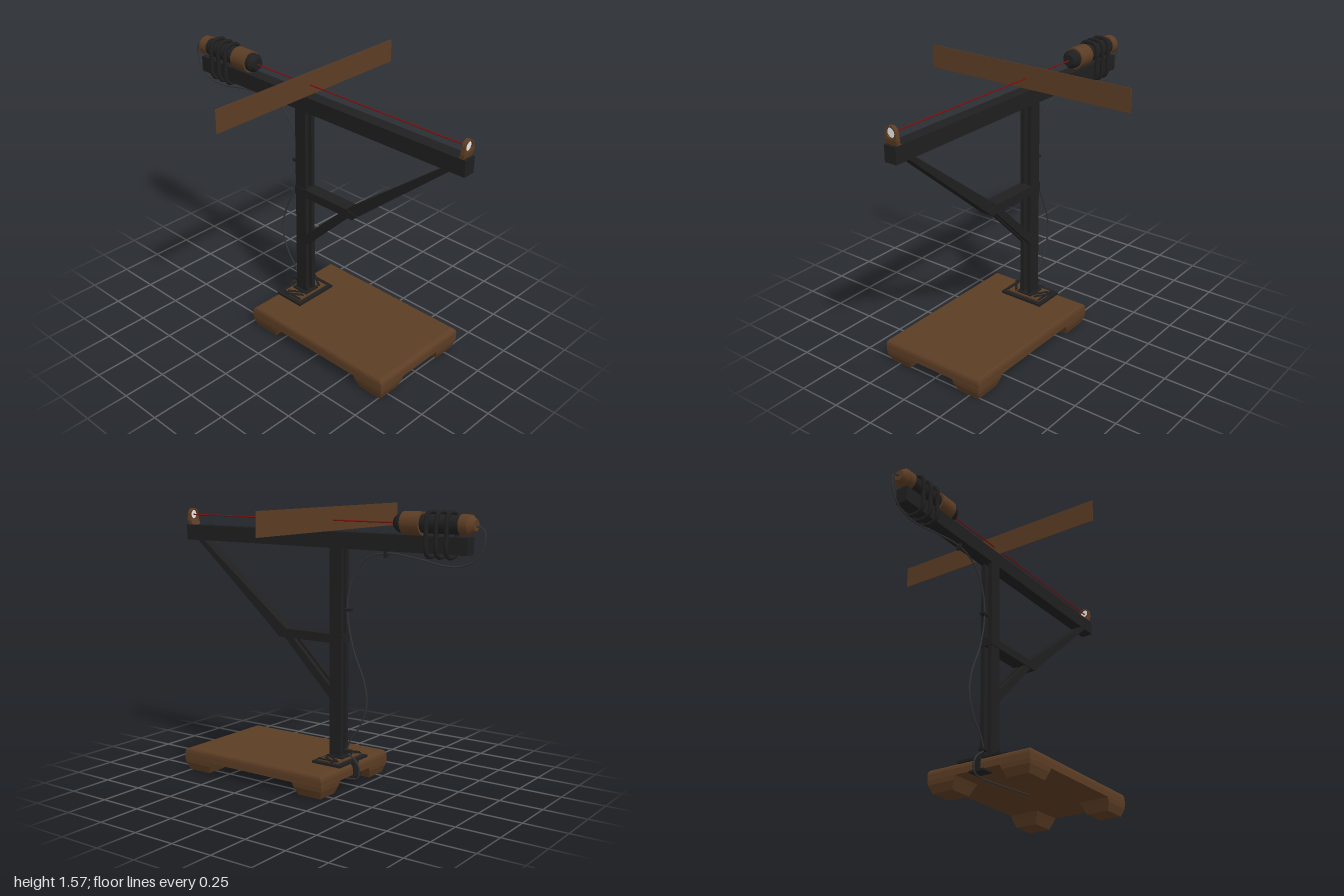
import * as THREE from 'three';

const mat = (name, color, side = THREE.FrontSide) => {
  const m = new THREE.MeshStandardMaterial({ color, side });
  m.name = name;
  return m;
};

// Stack of rectangles [y, x0, x1, z0, z1], listed bottom to top, joined into a closed faceted solid
function loft(levels) {
  const pos = [], idx = [];
  for (const [y, x0, x1, z0, z1] of levels) pos.push(x0, y, z1, x1, y, z1, x1, y, z0, x0, y, z0);
  for (let l = 0; l < levels.length - 1; l++) {
    for (let i = 0; i < 4; i++) {
      const a = l * 4 + i, b = l * 4 + (i + 1) % 4;
      idx.push(a, b, b + 4, a, b + 4, a + 4);
    }
  }
  const t = (levels.length - 1) * 4;
  idx.push(0, 2, 1, 0, 3, 2, t, t + 1, t + 2, t, t + 2, t + 3);
  const g = new THREE.BufferGeometry();
  g.setAttribute('position', new THREE.Float32BufferAttribute(pos, 3));
  g.setIndex(idx);
  const flat = g.toNonIndexed();
  flat.computeVertexNormals();
  return flat;
}

// Side outline in x and y, extruded between two depths
function profile(points, z0, z1) {
  const s = new THREE.Shape(points.map(p => new THREE.Vector2(...p)));
  const g = new THREE.ExtrudeGeometry(s, { depth: z1 - z0, bevelEnabled: false });
  return g.translate(0, 0, z0);
}

export function createModel() {
  const root = new THREE.Group();
  const wood = mat('brown', 0x5c3d24);
  const black = mat('black', 0x1f1f20);
  const grey = mat('cable grey', 0x333335);
  const red = mat('beam red', 0x7d0f0f);
  const pale = mat('lens white', 0xf2f2f2, THREE.DoubleSide);

  const add = (name, geo, m, x = 0, y = 0, z = 0) => {
    const mesh = new THREE.Mesh(geo, m);
    mesh.name = name;
    mesh.position.set(x, y, z);
    root.add(mesh);
    return mesh;
  };
  // Box given by its limits
  const box = (name, m, x0, x1, y0, y1, z0, z1) =>
    add(name, new THREE.BoxGeometry(x1 - x0, y1 - y0, z1 - z0), m, (x0 + x1) / 2, (y0 + y1) / 2, (z0 + z1) / 2);

  // Base slab with a rounded upper edge
  const inset = [[0.07, 0], [0.105, 0], [0.12, 0.004], [0.13, 0.014], [0.135, 0.028]];
  add('baseSlab', loft(inset.map(([y, d]) => [y, -0.22 + d, 0.78 - d, -0.33 + d * 0.5, 0.33 - d * 0.5])), wood);

  // Four tapered corner feet
  for (const sx of [-1, 1]) for (const sz of [-1, 1]) {
    const rect = (y, xo, xi, zo, zi) => {
      const xs = [0.28 + sx * xo, 0.28 + sx * xi].sort((a, b) => a - b);
      const zs = [sz * zo, sz * zi].sort((a, b) => a - b);
      return [y, ...xs, ...zs];
    };
    add('foot', loft([rect(0, 0.48, 0.33, 0.31, 0.175), rect(0.045, 0.497, 0.311, 0.327, 0.155),
      rect(0.07, 0.5, 0.3, 0.33, 0.143)]), wood);
  }

  // Post mounting plates with diagonal ribs
  box('mountPlate', black, -0.21, -0.02, 0.134, 0.148, -0.14, 0.14);
  box('mountInlay', wood, -0.18, -0.045, 0.148, 0.157, -0.115, 0.115);
  box('mountCollar', black, -0.165, -0.055, 0.157, 0.167, -0.05, 0.05);
  for (const s of [-1, 1]) {
    for (const d of [0.065, 0.1]) {
      const rib = add('mountRib', new THREE.BoxGeometry(0.12, 0.006, 0.014), black, -0.112, 0.159, s * d);
      rib.rotation.y = s * 0.6;
    }
    box('mountRail', black, -0.18, -0.045, 0.157, 0.164, s * 0.112 - 0.005, s * 0.112 + 0.005);
  }

  // Twin-rail post and lower brace
  for (const s of [-1, 1]) {
    const z0 = s > 0 ? 0.011 : -0.037, z1 = z0 + 0.026;
    box('postRail', black, -0.145, -0.068, 0.14, 1.35, z0, z1);
    add('lowerBrace', profile([[-0.07, 0.495], [0.255, 0.82], [0.195, 0.82], [-0.07, 0.565]], z0, z1), black);
  }

  // Middle arm, upper brace and boom
  add('middleArm', profile([[-0.15, 0.815], [0.29, 0.815], [0.325, 0.85], [0.25, 0.865], [-0.15, 0.865]], -0.041, 0.041), black);
  add('upperBrace', profile([[0.29, 0.816], [0.915, 1.35], [0.87, 1.35], [0.24, 0.862]], -0.036, 0.036), black);
  box('boom', black, -0.915, 1, 1.345, 1.435, -0.037, 0.037);

  // Emitter body along x, one lathe per colour band: [radius, x]
  const band = (name, m, pts) => {
    const g = new THREE.LatheGeometry(pts.map(p => new THREE.Vector2(...p)), 24);
    add(name, g.rotateZ(-Math.PI / 2), m, 0, 1.497, 0);
  };
  band('emitterTail', wood, [[0, -0.945], [0.03, -0.945], [0.03, -0.945], [0.055, -0.915], [0.055, -0.915],
    [0.055, -0.865], [0.055, -0.865], [0, -0.865]]);
  band('emitterBody', black, [[0.05, -0.866], [0.05, -0.634]]);
  band('emitterSleeve', wood, [[0, -0.638], [0.062, -0.638], [0.062, -0.638], [0.062, -0.525], [0.062, -0.525], [0, -0.525]]);
  band('emitterNose', black, [[0.053, -0.526], [0.053, -0.5], [0.053, -0.5], [0.034, -0.473], [0.034, -0.473], [0, -0.473]]);

  // Straps holding the emitter on the boom
  const half = [[0.038, 1.334], [0.056, 1.37], [0.056, 1.44], [0.057, 1.51], [0.035, 1.553]];
  const loop = [...half, ...half.slice().reverse().map(([z, y]) => [-z, y])];
  for (const x of [-0.805, -0.745, -0.685]) {
    const curve = new THREE.CatmullRomCurve3(loop.map(([z, y]) => new THREE.Vector3(0, y, z)), true);
    add('strap', new THREE.TubeGeometry(curve, 48, 0.012, 8, true), black, x);
  }

  // Beam, cross panel
  add('beam', new THREE.CylinderGeometry(0.004, 0.004, 1.45, 8).rotateZ(Math.PI / 2), red, 0.252, 1.495, 0);
  box('crossPanel', wood, -0.067, -0.063, 1.437, 1.57, -0.667, 0.667);

  // Eyelet with its lens at the boom tip
  const eye = new THREE.Shape();
  eye.moveTo(-0.04, -0.035);
  eye.lineTo(0.04, -0.035);
  eye.lineTo(0.036, 0);
  eye.absarc(0, 0, 0.036, 0, Math.PI, false);
  eye.closePath();
  const hole = new THREE.Path();
  hole.absarc(0, 0, 0.027, 0, Math.PI * 2, true);
  eye.holes.push(hole);
  const eyeGeo = new THREE.ExtrudeGeometry(eye, { depth: 0.022, bevelEnabled: false, curveSegments: 20 });
  add('eyelet', eyeGeo.rotateY(Math.PI / 2), wood, 0.97, 1.497, 0);
  add('eyeletFoot', loft([[1.434, 0.955, 0.985, -0.034, 0.034], [1.468, 0.97, 0.992, -0.038, 0.038]]), wood);
  add('lens', new THREE.CircleGeometry(0.028, 24).rotateY(Math.PI / 2), pale, 0.981, 1.497, 0);

  // Hanging cable that ends below the base
  const path = [[-0.94, 1.495], [-0.985, 1.48], [-0.995, 1.42], [-0.96, 1.335], [-0.88, 1.29], [-0.78, 1.282],
    [-0.6, 1.313], [-0.41, 1.33], [-0.28, 1.29], [-0.19, 1.17], [-0.163, 1.0], [-0.2, 0.8], [-0.28, 0.6],
    [-0.295, 0.48], [-0.25, 0.35], [-0.18, 0.25], [-0.167, 0.19], [-0.215, 0.155], [-0.246, 0.11],
    [-0.24, 0.05], [-0.18, 0.035], [0, 0.042], [0.28, 0.06]];
  const cable = new THREE.CatmullRomCurve3(path.map(([x, y]) => new THREE.Vector3(x, y, 0)));
  add('cable', new THREE.TubeGeometry(cable, 160, 0.005, 8), grey);

  // Cable clips
  box('boomClip', black, -0.417, -0.405, 1.307, 1.347, -0.015, 0.015);
  for (const y of [1.005, 0.197]) box('postClip', black, -0.192, -0.143, y - 0.007, y + 0.007, -0.015, 0.015);
  box('edgeClip', black, -0.228, -0.2, 0.062, 0.142, -0.022, 0.022);
  box('underClip', black, -0.228, -0.15, 0.06, 0.071, -0.048, 0.048);

  return root;
}
